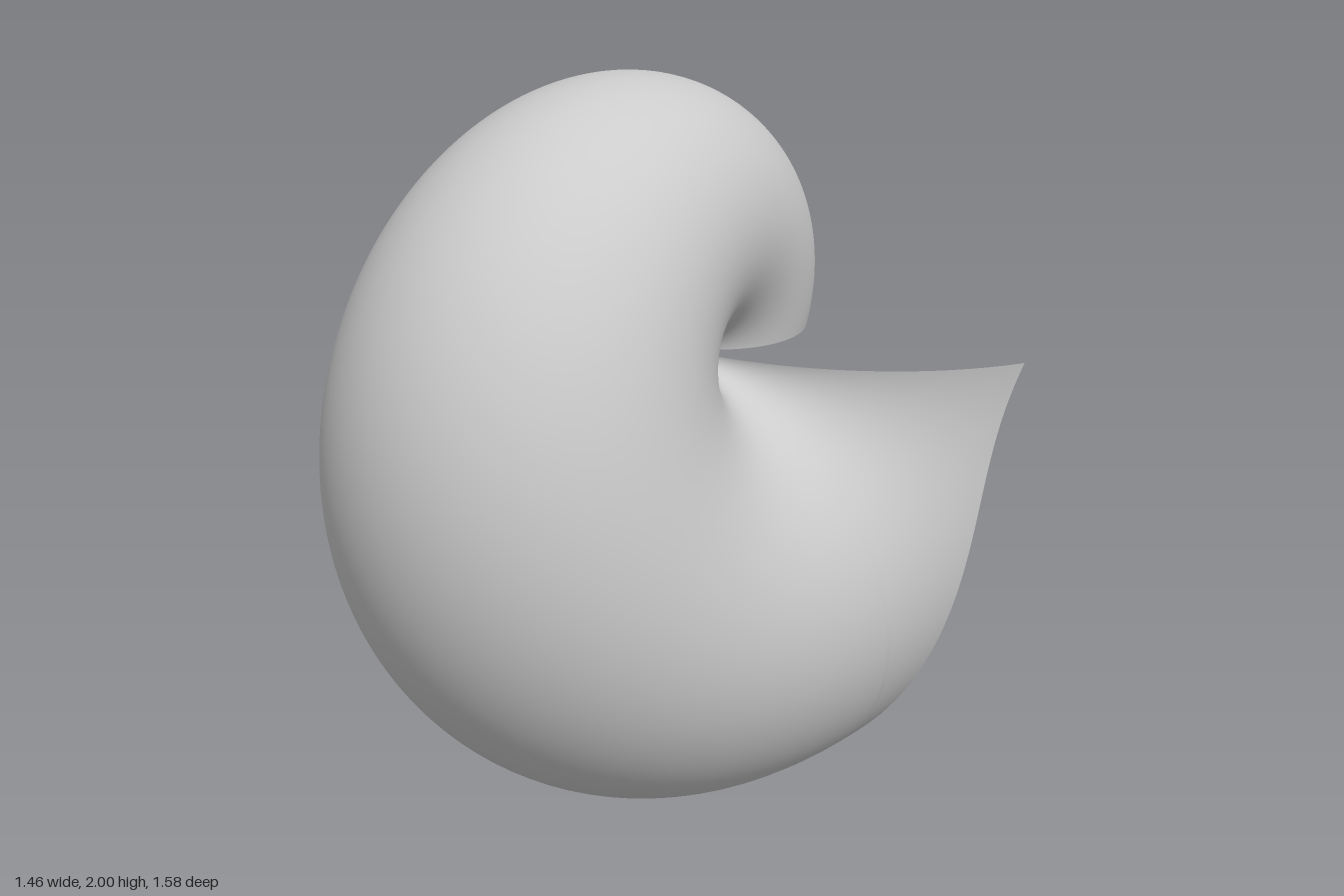
import * as THREE from 'three';
import { ParametricGeometry } from 'three/addons/geometries/ParametricGeometry.js';

const CENTRE = { x: 0.222, y: 1.304 }; // spiral axis, running along z
const START = 0.498;                   // tube diameter where the whorl begins
const GROWTH = 0.2;                    // logarithmic growth per radian
const LIP = { x: 0.718, slope: 0.156 }; // slanted plane that trims the mouth

// Distance from the axis at which the mouth plane cuts the given direction
function lipRadius(theta) {
  const d = Math.cos(theta) - LIP.slope * Math.sin(theta);
  return theta > Math.PI && d > 0 ? (LIP.x - CENTRE.x) / d : Infinity;
}

// One full whorl: circles touching the axis, swept along a log spiral
function shellPoint(s, t, target) {
  const theta = s * Math.PI * 2;
  const diameter = START * Math.exp(GROWTH * theta);
  const reach = Math.min(1, lipRadius(theta) / diameter);
  const first = Math.acos(2 * reach - 1); // opens the circle past the lip
  const u = first + t * 2 * (Math.PI - first);
  const r = diameter * (1 + Math.cos(u)) / 2;
  target.set(
    CENTRE.x + r * Math.cos(theta),
    CENTRE.y + r * Math.sin(theta),
    diameter / 2 * Math.sin(u)
  );
}

export function createModel() {
  const group = new THREE.Group();
  group.name = 'spiralShell';
  const material = new THREE.MeshStandardMaterial({ color: 0xcccccc, side: THREE.DoubleSide });

  // An odd count across keeps vertices off the pinched axis point
  const shell = new THREE.Mesh(new ParametricGeometry(shellPoint, 256, 121), material);
  shell.name = 'shellWhorl';
  group.add(shell);
  return group;
}
